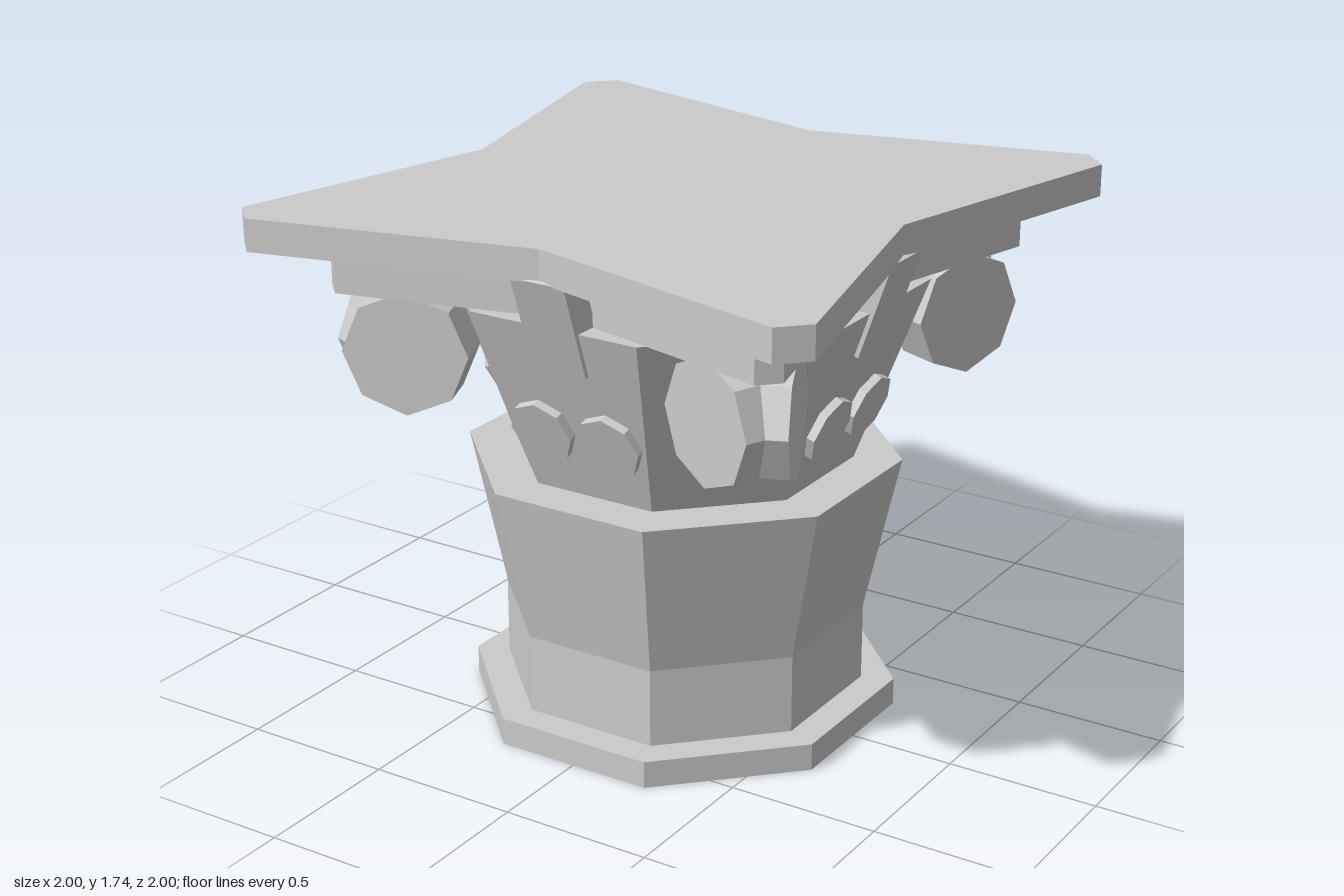
import * as THREE from 'three';

const material = new THREE.MeshStandardMaterial({ color: 0xcccccc, flatShading: true });
const TILT = Math.atan(0.21 / 0.61); // outward lean of the bell
const VOLUTE_TURN = Math.atan(0.41);

function add(parent, name, geometry) {
  const mesh = new THREE.Mesh(geometry, material);
  mesh.name = name;
  parent.add(mesh);
  return mesh;
}

// Octagonal frustum with flats facing the axes, sized by its apothems
function octagon(bottom, top, y0, y1) {
  const k = 1 / Math.cos(Math.PI / 8);
  return new THREE.CylinderGeometry(top * k, bottom * k, y1 - y0, 8)
    .rotateY(Math.PI / 8)
    .translate(0, (y0 + y1) / 2, 0);
}

// Four-pointed slab with concave sides and clipped corners
function starSlab(reach, clip, mid, y0, y1) {
  const points = [];
  for (let i = 0; i < 4; i++) {
    const a = (i * Math.PI) / 2;
    for (const [x, y] of [[mid, 0], [reach, clip], [clip, reach]]) {
      points.push(new THREE.Vector2(x, y).rotateAround(new THREE.Vector2(), a));
    }
  }
  return new THREE.ExtrudeGeometry(new THREE.Shape(points), { depth: y1 - y0, bevelEnabled: false })
    .rotateX(-Math.PI / 2)
    .translate(0, y0, 0);
}

// Eight-sided disc whose front face is centred on the origin, facing +z
function disc(radius, depth) {
  return new THREE.CylinderGeometry(radius, radius, depth, 8)
    .rotateX(Math.PI / 2)
    .translate(0, 0, -depth / 2);
}

export function createModel() {
  const model = new THREE.Group();
  model.name = 'columnCapital';

  // Stacked octagonal body
  add(model, 'base', octagon(0.65, 0.65, 0, 0.09));
  add(model, 'neck', octagon(0.55, 0.55, 0.09, 0.35));
  add(model, 'flaredCollar', octagon(0.55, 0.655, 0.35, 0.87));
  add(model, 'bell', octagon(0.51, 0.72, 0.87, 1.48));

  // Star-shaped top slabs
  add(model, 'lowerSlab', starSlab(0.805, 0.745, 0.62, 1.48, 1.635));
  add(model, 'topSlab', starSlab(1, 0.915, 0.775, 1.635, 1.74));

  for (let i = 0; i < 4; i++) {
    const side = new THREE.Group();
    side.name = 'sideOrnaments';
    side.rotation.y = (i * Math.PI) / 2;
    model.add(side);

    // Leaning tab under the top slab
    const tab = add(side, 'tab', new THREE.BoxGeometry(0.19, 0.328, 0.1).translate(0, 0, -0.05));
    tab.position.set(0, 1.485, 0.737);
    tab.rotation.x = TILT;

    // Pair of rosettes lying on the bell
    for (const s of [-1, 1]) {
      const rosette = add(side, 'rosette', disc(0.11, 0.06));
      rosette.position.set(s * 0.122, 1.09, 0.615);
      rosette.rotation.x = TILT;
    }

    // Corner volute: two discs converging towards the diagonal
    const volute = new THREE.Group();
    volute.name = 'volute';
    side.add(volute);
    const front = add(volute, 'voluteDisc', disc(0.2, 0.15));
    front.position.set(0.54, 1.3, 0.735);
    front.rotation.y = -VOLUTE_TURN;
    const flank = add(volute, 'voluteDisc', disc(0.2, 0.15));
    flank.position.set(0.735, 1.3, 0.54);
    flank.rotation.y = Math.PI / 2 + VOLUTE_TURN;
  }
  return model;
}
